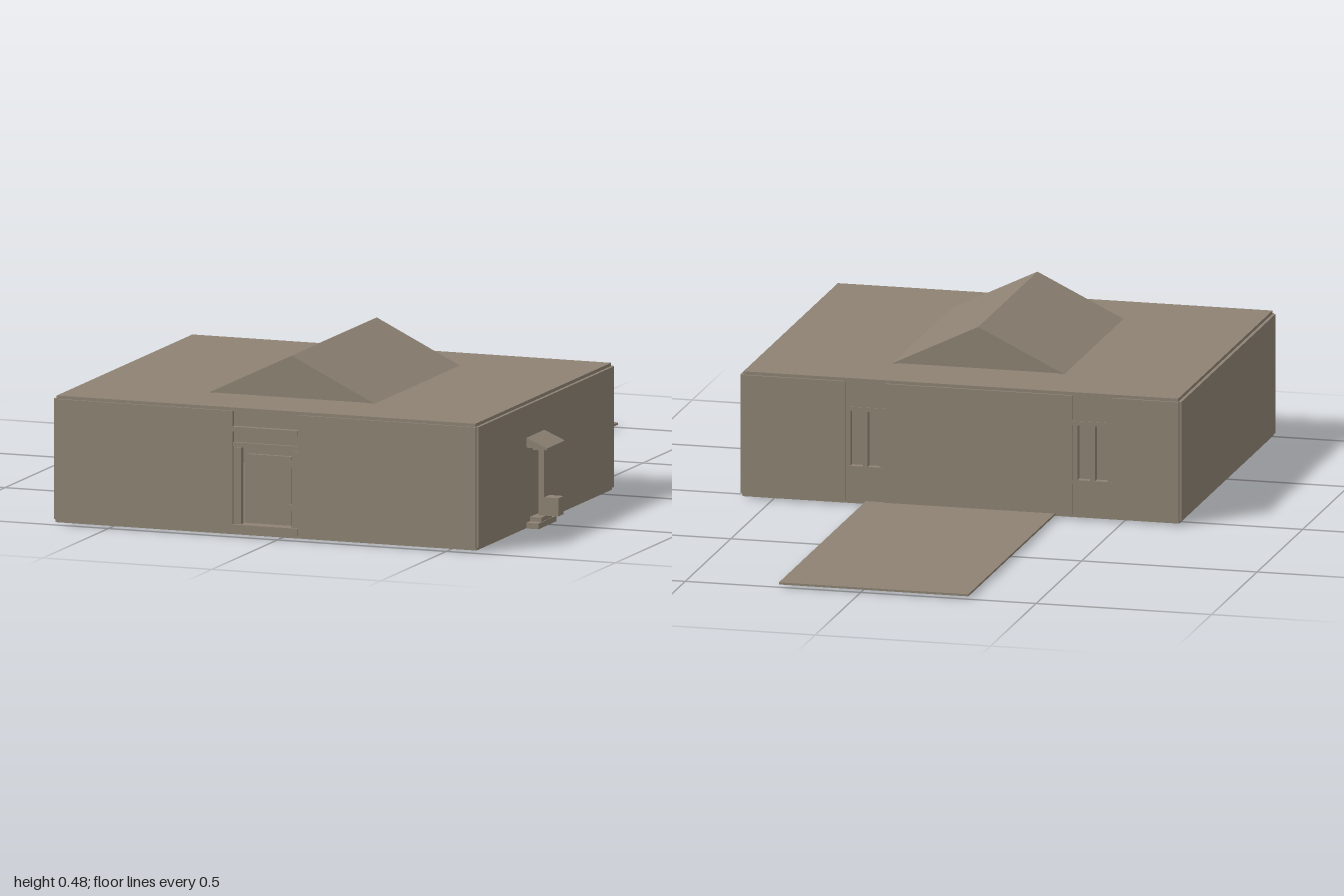
import * as THREE from 'three';

export function createModel() {
  const model = new THREE.Group();
  model.name = 'house';
  const stone = new THREE.MeshStandardMaterial({ color: 0x8d8273 });
  stone.name = 'warm grey';

  // Box given by its low and high limits on each axis
  function box(name, x0, x1, y0, y1, z0, z1, parent = model) {
    const mesh = new THREE.Mesh(new THREE.BoxGeometry(x1 - x0, y1 - y0, z1 - z0), stone);
    mesh.position.set((x0 + x1) / 2, (y0 + y1) / 2, (z0 + z1) / 2);
    mesh.name = name;
    parent.add(mesh);
    return mesh;
  }

  // Outline in x and y, drawn out along z
  function prism(name, points, z0, z1, parent = model) {
    const shape = new THREE.Shape(points.map(([x, y]) => new THREE.Vector2(x, y)));
    const geometry = new THREE.ExtrudeGeometry(shape, { depth: z1 - z0, bevelEnabled: false });
    const mesh = new THREE.Mesh(geometry, stone);
    mesh.position.z = z0;
    mesh.name = name;
    parent.add(mesh);
  }

  function group(name) {
    const g = new THREE.Group();
    g.name = name;
    model.add(g);
    return g;
  }

  const L = -0.666, R = 0.591, B = -0.052, F = 0.996;
  const bottom = 0.014, top = 0.352, t = 0.025;

  // Ground: foundation, floor and long rear path
  box('foundation', -0.375, 0.3, 0, 0.008, 0.19, 0.755);
  box('floor', L + 0.006, R - 0.006, 0.006, bottom, B + 0.006, F - 0.006);
  box('rearPath', -0.307, 0.233, 0.008, bottom, -1, B + 0.006);

  // Walls, with gaps for the door and the two rear windows
  const doorL = -0.134, doorR = 0.059;
  const windows = [[-0.47, -0.357], [0.178, 0.291]];
  box('leftSideWall', L, L + t, bottom, top, B + 0.007, F - 0.007);
  box('rightSideWall', R - t, R, bottom, top, B + 0.007, F - 0.007);
  box('frontWall', L + 0.006, doorL, bottom, top, F - t, F);
  box('frontWall', doorR, R - 0.006, bottom, top, F - t, F);
  box('rearWall', L + 0.006, windows[0][0], bottom, top, B, B + t);
  box('rearWall', windows[0][1], windows[1][0], bottom, top, B, B + t);
  box('rearWall', windows[1][1], R - 0.006, bottom, top, B, B + t);

  // Flat roof and central gable
  box('roofSlab', L + 0.009, R - 0.009, top, 0.361, B + 0.006, F - 0.006);
  const mid = -0.0375, half = 0.2475, apex = 0.48;
  prism('gable', [[mid - half + 0.014, 0.36], [mid + half - 0.014, 0.36], [mid, apex - 0.006]], 0.152, 0.788);
  prism('gableRoof', [
    [mid - half, 0.36], [mid - half + 0.014, 0.36], [mid, apex - 0.007],
    [mid + half - 0.014, 0.36], [mid + half, 0.36], [mid, apex],
  ], 0.145, 0.795);

  // Front entrance
  const door = group('entrance');
  box('entranceHeader', doorL, doorR, 0.309, top, F - t, F - 0.012, door);
  box('entranceBeam', doorL, doorR, 0.295, 0.309, F - t, 1, door);
  box('transom', doorL, doorR, 0.25, 0.295, F - t, F - 0.012, door);
  box('transomTrim', doorL, doorR, 0.252, 0.264, F - t, F - 0.004, door);
  box('doorStep', doorL, doorR, bottom, 0.035, F - t, 1, door);
  box('doorJamb', doorL, -0.112, 0.035, 0.25, F - t, F - 0.006, door);
  box('doorJamb', 0.038, doorR, 0.035, 0.25, F - t, F - 0.006, door);
  box('doorPanel', -0.112, 0.038, 0.035, 0.25, F - 0.05, F - 0.035, door);
  box('doorLeaf', -0.102, 0.03, 0.037, 0.23, F - 0.035, F - 0.024, door);
  for (const y of [0.08, 0.2]) box('doorHinge', 0.026, 0.036, y, y + 0.018, F - 0.035, F - 0.016, door);

  // Rear windows: infill above and below, frame and recessed panes
  for (const [a, b] of windows) {
    const w = group('rearWindow');
    box('windowSpandrel', a, b, bottom, 0.1, B + 0.006, B + t, w);
    box('windowHeader', a, b, 0.28, top, B + 0.006, B + t, w);
    box('windowGlass', a, b, 0.1, 0.28, B + 0.024, B + 0.032, w);
    const m = (a + b) / 2;
    for (const x of [a, m - 0.007, b - 0.014]) {
      box('windowBar', x, x + 0.014, 0.1, 0.28, B + 0.005, B + t, w);
    }
    for (const y of [0.1, 0.268]) box('windowRail', a, b, y, y + 0.012, B + 0.004, B + t, w);
  }

  // Side post with sloping cap, stepped base and hanging box
  const post = group('sidePost');
  box('postBase', R, 0.627, 0.008, 0.024, 0.487, 0.625, post);
  box('postPlinth', R, 0.625, 0.024, 0.036, 0.515, 0.597, post);
  box('postShaft', 0.605, 0.621, 0.036, 0.24, 0.548, 0.567, post);
  box('postBracket', R, 0.627, 0.22, 0.235, 0.54, 0.575, post);
  prism('postCap', [[R, 0.235], [0.652, 0.231], [0.652, 0.236], [R, 0.262]], 0.487, 0.625, post);
  box('postBox', 0.622, 0.664, 0.037, 0.088, 0.528, 0.568, post);

  return model;
}
